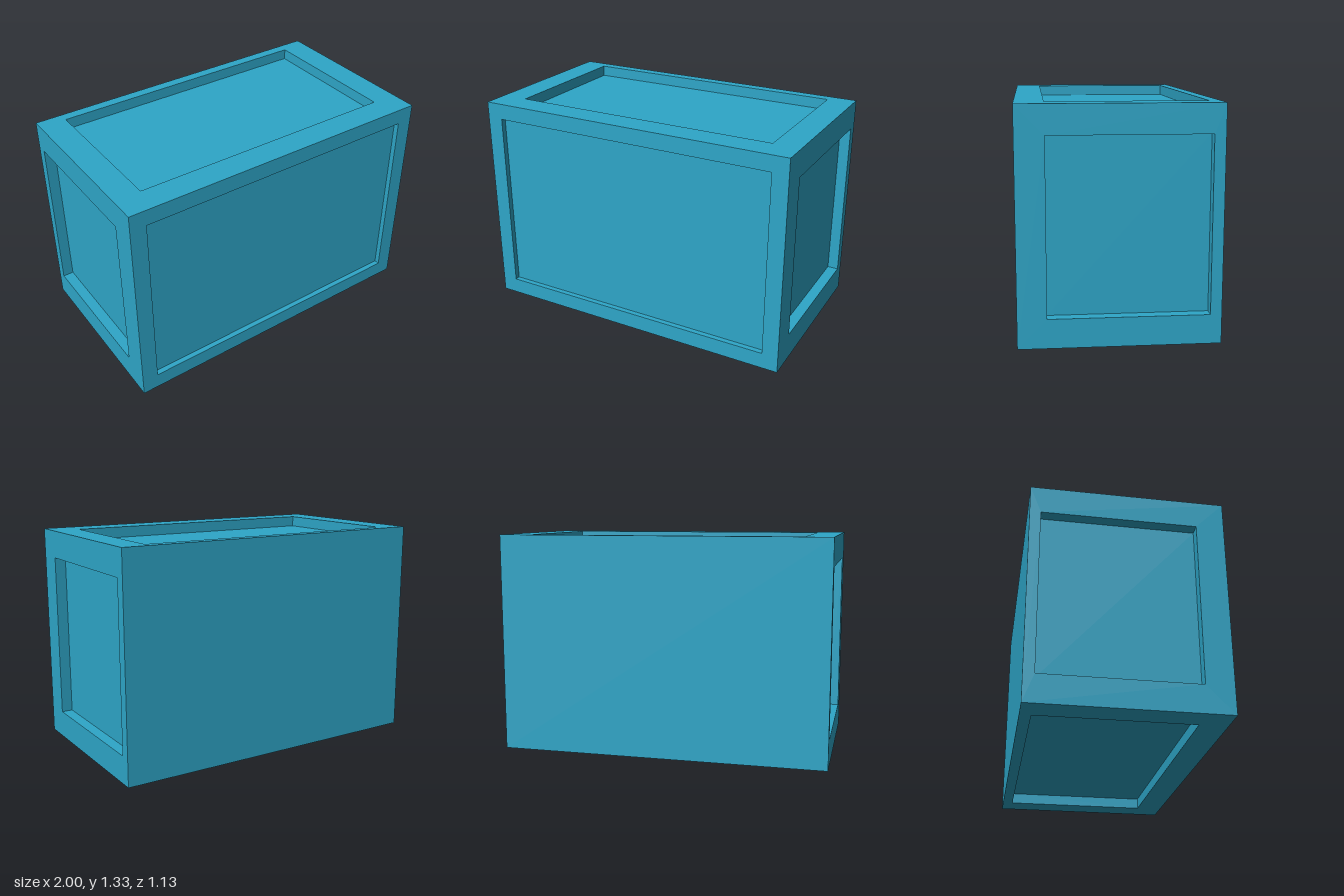
import * as THREE from 'three';
import { mergeGeometries } from 'three/addons/utils/BufferGeometryUtils.js';

const X = 1, H = 1.334, Z = 0.564; // half width, height, half depth
const Q = Math.PI / 2;

const rectPoints = (u0, u1, v0, v1) =>
  [[u0, v0], [u1, v0], [u1, v1], [u0, v1]].map(([u, v]) => new THREE.Vector2(u, v));

// A flat panel facing +z, with an optional sunken rectangle { u0, u1, v0, v1, d }
function panelGeometry(hu, hv, recess) {
  if (!recess) return new THREE.PlaneGeometry(hu * 2, hv * 2);
  const { u0, u1, v0, v1, d } = recess;
  const w = u1 - u0, h = v1 - v0, cu = (u0 + u1) / 2, cv = (v0 + v1) / 2;
  const rim = new THREE.Shape(rectPoints(-hu, hu, -hv, hv));
  rim.holes.push(new THREE.Path(rectPoints(u0, u1, v0, v1)));
  return mergeGeometries([
    new THREE.ShapeGeometry(rim),
    new THREE.PlaneGeometry(w, h).translate(cu, cv, -d), // floor
    // four inner walls
    new THREE.PlaneGeometry(d, h).rotateY(Q).translate(u0, cv, -d / 2),
    new THREE.PlaneGeometry(d, h).rotateY(-Q).translate(u1, cv, -d / 2),
    new THREE.PlaneGeometry(w, d).rotateX(-Q).translate(cu, v0, -d / 2),
    new THREE.PlaneGeometry(w, d).rotateX(Q).translate(cu, v1, -d / 2),
  ]);
}

export function createModel() {
  const group = new THREE.Group();
  group.name = 'panelledBox';
  const material = new THREE.MeshStandardMaterial({ color: 0x2ea6c8 });

  const addPanel = (name, hu, hv, recess, position, rotX = 0, rotY = 0) => {
    const mesh = new THREE.Mesh(panelGeometry(hu, hv, recess), material);
    mesh.name = name;
    mesh.position.set(...position);
    mesh.rotation.set(rotX, rotY, 0);
    group.add(mesh);
  };

  const m = H / 2, d = 0.067;

  // Front has a shallow recess, the back is plain
  addPanel('frontPanel', X, m, { u0: -0.9, u1: 0.9, v0: 0.1 - m, v1: 1.236 - m, d: 0.033 }, [0, m, Z]);
  addPanel('backPanel', X, m, null, [0, m, -Z], 0, Math.PI);

  // Ends: recess sits towards the back
  addPanel('leftPanel', Z, m, { u0: -0.4, u1: 0.5, v0: -0.5, v1: 0.5, d }, [X, m, 0], 0, Q);
  addPanel('rightPanel', Z, m, { u0: -0.5, u1: 0.4, v0: -0.5, v1: 0.5, d }, [-X, m, 0], 0, -Q);

  // Top and bottom, same offset
  addPanel('topPanel', X, Z, { u0: -0.835, u1: 0.835, v0: -0.4, v1: 0.5, d }, [0, H, 0], -Q);
  addPanel('bottomPanel', X, Z, { u0: -0.835, u1: 0.835, v0: -0.5, v1: 0.4, d }, [0, 0, 0], Q);

  return group;
}
